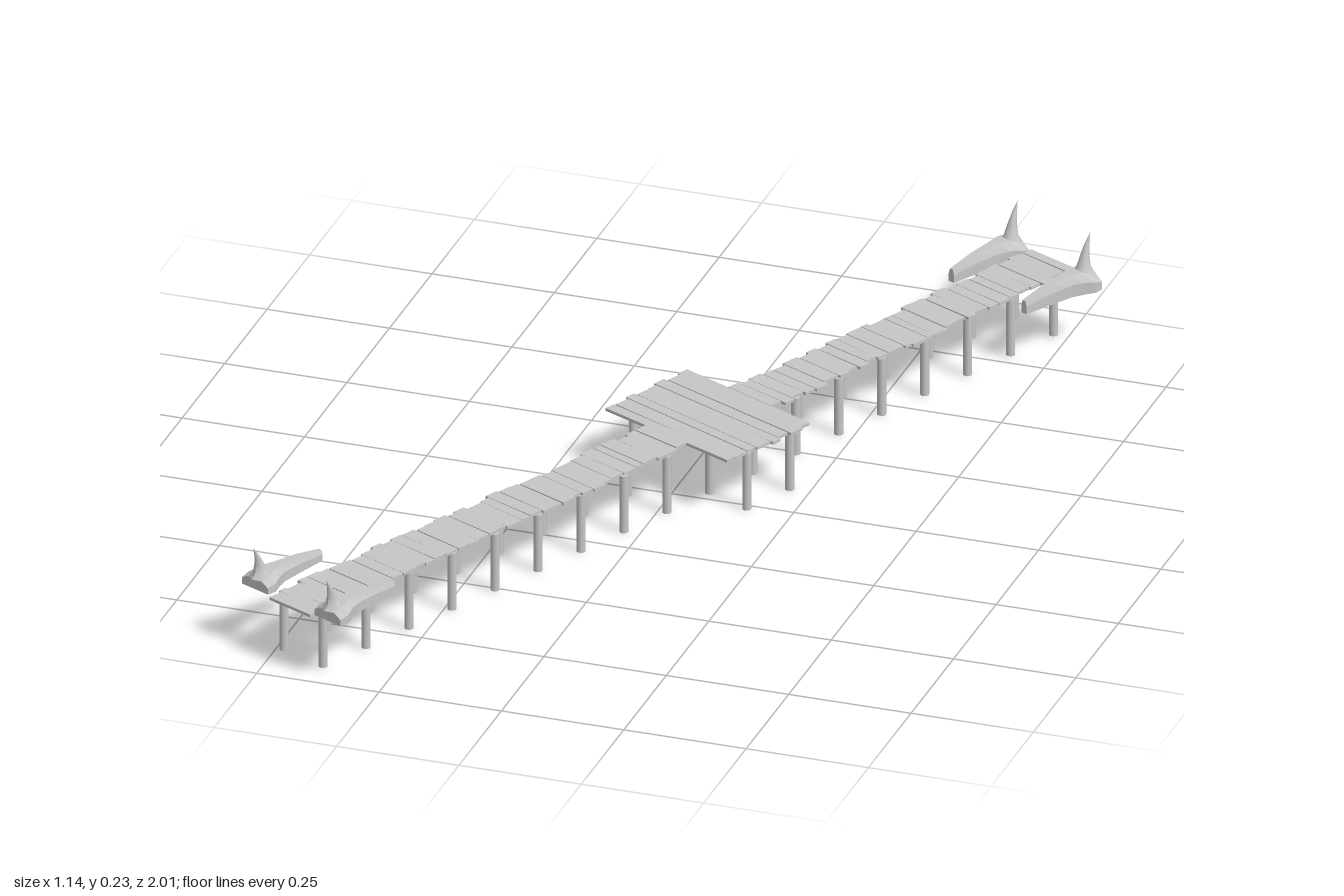
import * as THREE from 'three';

const HALF = 1.055;      // half length of the walkway
const DECK_TOP = 0.126;  // deck height at mid span

// Small seeded generator for uneven boards
function seeded(seed) {
  return () => {
    seed = (seed * 16807) % 2147483647;
    return seed / 2147483647 - 0.5;
  };
}

// The walkway rises very slightly towards both ends
const rise = (z) => 0.005 * (z / HALF) ** 2;

// Tapered, chamfered block built from hexagonal cross-sections: [z, half width, height]
function taperedBlock(sections) {
  const ring = ([z, w, h]) => [
    [-w, 0, z], [w, 0, z], [w, 0.6 * h, z], [0.55 * w, h, z], [-0.55 * w, h, z], [-w, 0.6 * h, z],
  ];
  const rings = sections.map(ring);
  const pos = [];
  const tri = (a, b, c) => pos.push(...a, ...b, ...c);
  for (let j = 0; j < rings.length - 1; j++) {
    const A = rings[j], B = rings[j + 1];
    for (let i = 0; i < 6; i++) {
      const k = (i + 1) % 6;
      tri(A[i], A[k], B[k]);
      tri(A[i], B[k], B[i]);
    }
  }
  const first = rings[0], last = rings[rings.length - 1];
  for (let i = 1; i < 5; i++) {
    tri(last[0], last[i], last[i + 1]);
    tri(first[0], first[i + 1], first[i]);
  }
  const geo = new THREE.BufferGeometry();
  geo.setAttribute('position', new THREE.Float32BufferAttribute(pos, 3));
  geo.computeVertexNormals();
  return geo;
}

export function createModel() {
  const model = new THREE.Group();
  model.name = 'footbridge';
  const grey = new THREE.MeshStandardMaterial({ color: 0xc6c6c6 });
  grey.name = 'weathered grey';
  const rand = seeded(4711);

  // Everything is built along z, then turned to lie diagonally
  const bridge = new THREE.Group();
  bridge.name = 'bridge';
  bridge.rotation.y = -0.44;
  bridge.position.set(-0.003, 0, -0.001);
  model.add(bridge);

  const addGroup = (name) => {
    const g = new THREE.Group();
    g.name = name;
    bridge.add(g);
    return g;
  };
  const add = (parent, name, geo, x, y, z) => {
    const mesh = new THREE.Mesh(geo, grey);
    mesh.name = name;
    mesh.position.set(x, y, z);
    parent.add(mesh);
    return mesh;
  };

  // Row of cross boards of uneven size from z0 to z1
  const layBoards = (parent, name, z0, z1, count, width, shift) => {
    const pitch = (z1 - z0) / count;
    let edge = z0;
    for (let i = 1; i <= count; i++) {
      const next = i < count ? z0 + (i + rand() * 0.5) * pitch : z1;
      const z = (edge + next) / 2;
      const geo = new THREE.BoxGeometry(width + rand() * 0.012, 0.006, next - edge - 0.001);
      const y = DECK_TOP - 0.002 + rise(z) + rand() * 0.002;
      const board = add(parent, name, geo, shift + rand() * 0.012, y, z);
      board.rotation.y = rand() * 0.02;
      edge = next;
    }
  };

  // Walkway on both sides of a wide resting platform
  const deck = addGroup('deck');
  layBoards(deck, 'deckBoard', -HALF, -0.225, 28, 0.115, 0);
  layBoards(deck, 'deckBoard', 0.005, HALF, 36, 0.115, 0);
  const platform = addGroup('platform');
  layBoards(platform, 'platformBoard', -0.225, 0.005, 8, 0.33, -0.006);

  // Posts in pairs, with an outer pair where the platform widens
  const posts = addGroup('posts');
  const addPost = (x, z) => {
    const geo = new THREE.CylinderGeometry(0.009, 0.009, DECK_TOP - 0.004, 10);
    add(posts, 'post', geo, x, rise(z) + (DECK_TOP - 0.004) / 2, z);
  };
  const ROWS = 18;
  for (let i = 0; i < ROWS; i++) {
    const z = 1.012 - (i * 2.016) / (ROWS - 1);
    const offsets = i === 9 || i === 10 ? [0.053, 0.153] : [0.053];
    for (const x of offsets) for (const side of [-1, 1]) addPost(side * x, z);
  }

  // Carved rail ends with an upright curved horn, a pair at each end
  const blockGeo = taperedBlock([
    [0, 0.007, 0.022], [0.06, 0.012, 0.031], [0.115, 0.018, 0.034],
    [0.14, 0.027, 0.034], [0.16, 0.037, 0.03], [0.18, 0.035, 0.022],
  ]);
  const hornGeo = new THREE.LatheGeometry(
    [[0.024, 0], [0.014, 0.012], [0.009, 0.03], [0.005, 0.048], [0, 0.066]]
      .map(([r, y]) => new THREE.Vector2(r, y)), 8);
  // Lean the horn outwards towards its tip
  const hp = hornGeo.attributes.position;
  for (let i = 0; i < hp.count; i++) hp.setZ(i, hp.getZ(i) + 4.5 * hp.getY(i) ** 2);
  hornGeo.computeVertexNormals();

  for (const end of [1, -1]) {
    const front = end > 0;
    const rails = addGroup(front ? 'frontRailEnds' : 'backRailEnds');
    if (!front) {
      rails.rotation.y = Math.PI;
      rails.position.set(0.006, 0, -0.004);
    }
    const bottom = front ? 0.13 : 0.115;
    const tall = front ? 1 : 1.25;
    for (const side of [-1, 1]) {
      const block = add(rails, 'railEnd', blockGeo, side * 0.098, bottom, 0.866);
      block.scale.y = tall;
      const horn = add(rails, 'horn', hornGeo, side * 0.098, bottom + 0.023 * tall, 0.866 + 0.164);
      horn.scale.y = front ? 1 : 1.25;
    }
  }

  return model;
}
